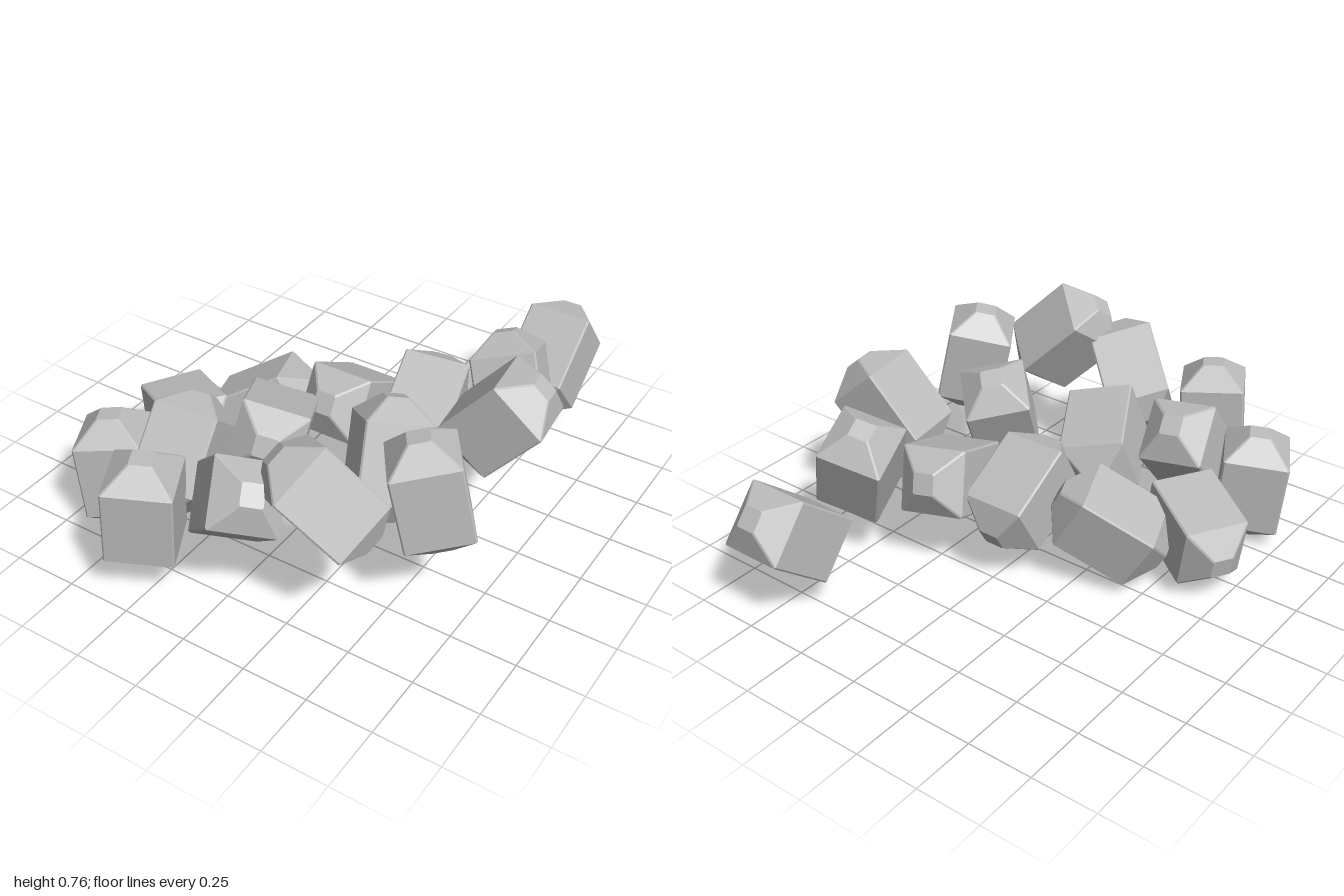
import * as THREE from 'three';
import { ConvexGeometry } from 'three/addons/geometries/ConvexGeometry.js';

// One boulder: a square block with fine chamfers whose two ends taper to little caps
function boulderGeometry() {
  const rings = [[-0.224, 0.04, 0.006], [-0.146, 0.124, 0.006], [0.146, 0.124, 0.006], [0.224, 0.04, 0.006]];
  const points = [];
  for (const [y, half, cut] of rings) {
    for (const sx of [-1, 1]) for (const sz of [-1, 1]) {
      points.push(new THREE.Vector3(sx * half, y, sz * (half - cut)));
      points.push(new THREE.Vector3(sx * (half - cut), y, sz * half));
    }
  }
  return new ConvexGeometry(points);
}

// Centre, long axis, and the direction one long side faces
const BOULDERS = [
  [[0.47, 0.305, -0.80], [0, 0.64, -0.77], [0, 0.77, 0.64]],
  [[0.49, 0.385, -0.41], [-0.36, 0.9, -0.27], [0.36, 0, 0.93]],
  [[0.585, 0.47, -0.12], [0.65, 0.75, -0.1], [0.1, 0, 1]],
  [[0.235, 0.33, -0.20], [-0.2, 0.35, -0.9], [0.12, 0.97, 0.1]],
  [[-0.025, 0.31, -0.095], [0, 0.5, 0.86], [1, 0, 0]],
  [[-0.35, 0.24, 0.005], [0.8, 0.48, -0.37], [0.42, 0.2, 0.9]],
  [[-0.115, 0.39, 0.29], [0.42, 0.32, 0.8], [0.25, 0.95, 0]],
  [[0.32, 0.39, 0.21], [-0.13, 0.87, -0.42], [0.7, 0, -0.7]],
  [[-0.35, 0.33, 0.515], [-0.06, 0.72, -0.65], [0.2, 0.65, 0.75]],
  [[-0.575, 0.21, 0.22], [0.82, 0.2, 0.5], [-0.5, 0, 0.85]],
  [[-0.595, 0.225, 0.595], [-0.1, 0.99, 0], [0.48, 0, 0.88]],
  [[-0.28, 0.32, 0.825], [0.06, 0.99, 0], [0.47, 0, 0.88]],
  [[0.045, 0.435, 0.72], [0.6, 0.62, 0.42], [-0.6, 0.5, 0.8]],
  [[0.35, 0.535, 0.665], [-0.65, 0.68, 0.25], [0.75, 0.75, 0.85]],
  [[0.59, 0.48, 0.39], [-0.2, 0.97, 0.06], [0.57, 0, 0.82]],
];

export function createModel() {
  const group = new THREE.Group();
  group.name = 'boulderCluster';
  const stone = new THREE.MeshStandardMaterial({ color: 0xbcbcbc });
  stone.name = 'greyStone';
  const geometry = boulderGeometry();

  BOULDERS.forEach(([centre, axis, facing], i) => {
    const y = new THREE.Vector3(...axis).normalize();
    const z = new THREE.Vector3(...facing).projectOnPlane(y).normalize();
    const x = new THREE.Vector3().crossVectors(y, z);
    const boulder = new THREE.Mesh(geometry, stone);
    boulder.name = `boulder${i + 1}`;
    boulder.quaternion.setFromRotationMatrix(new THREE.Matrix4().makeBasis(x, y, z));
    boulder.position.set(...centre);
    group.add(boulder);
  });
  return group;
}
